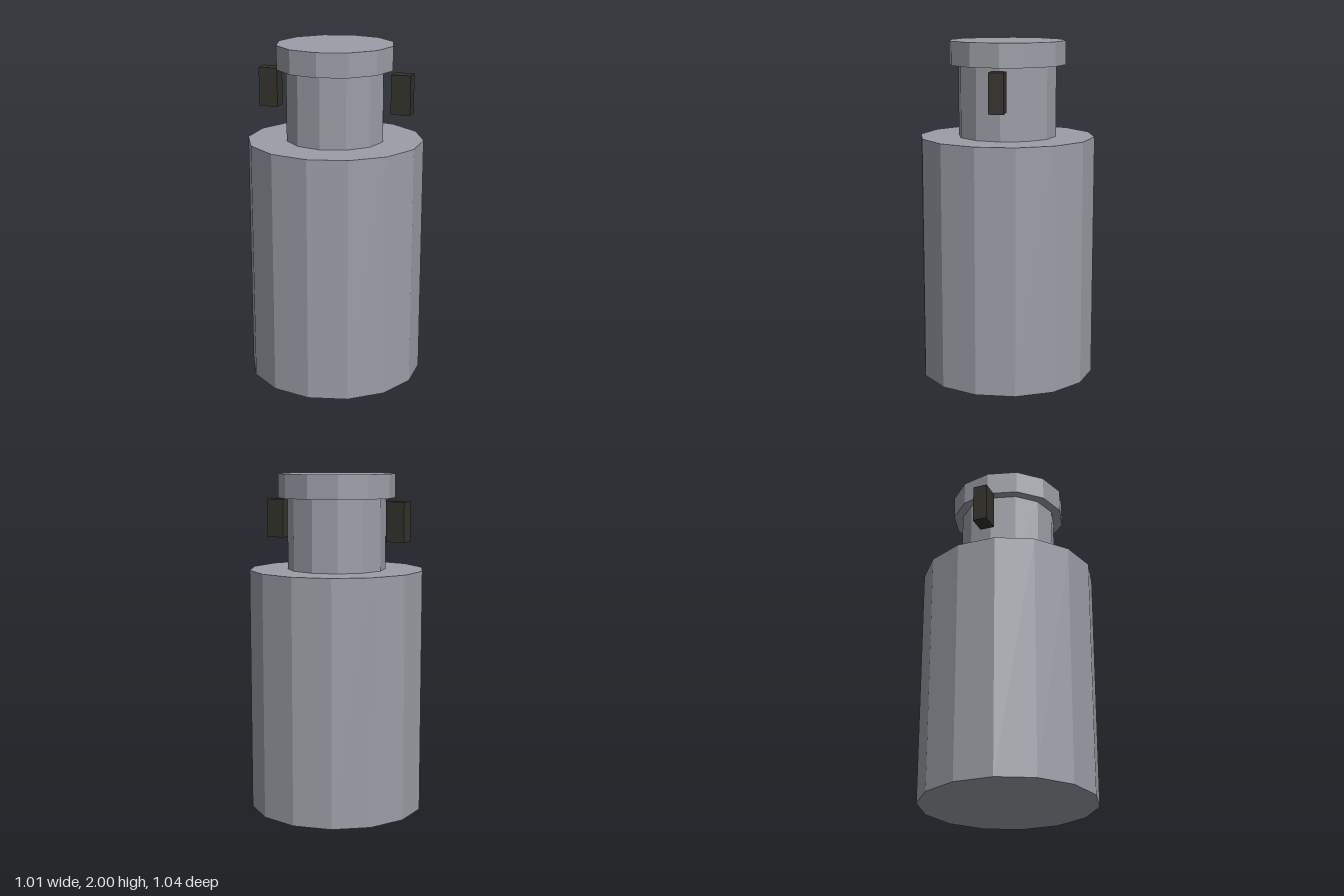
import * as THREE from 'three';

export function createModel() {
  const model = new THREE.Group();
  model.name = 'canister';

  const steel = new THREE.MeshStandardMaterial({ color: 0x9b9ea6, flatShading: true });
  steel.name = 'steel grey';
  const dark = new THREE.MeshStandardMaterial({ color: 0x33322b, flatShading: true });
  dark.name = 'dark lug';

  // Upright faceted drum between two heights
  function drum(name, radius, bottom, top, sides) {
    const mesh = new THREE.Mesh(new THREE.CylinderGeometry(radius, radius, top - bottom, sides), steel);
    mesh.name = name;
    mesh.position.y = (bottom + top) / 2;
    model.add(mesh);
  }

  drum('body', 0.518, 0, 1.44, 14);
  drum('neck', 0.29, 1.44, 1.86, 12);
  drum('cap', 0.345, 1.86, 2, 12);

  // Mirrored side lugs
  for (const side of [1, -1]) {
    const lug = new THREE.Mesh(new THREE.BoxGeometry(0.115, 0.23, 0.086), dark);
    lug.name = side > 0 ? 'leftLug' : 'rightLug';
    lug.position.set(side * 0.403, 1.73, 0);
    model.add(lug);
  }

  return model;
}
